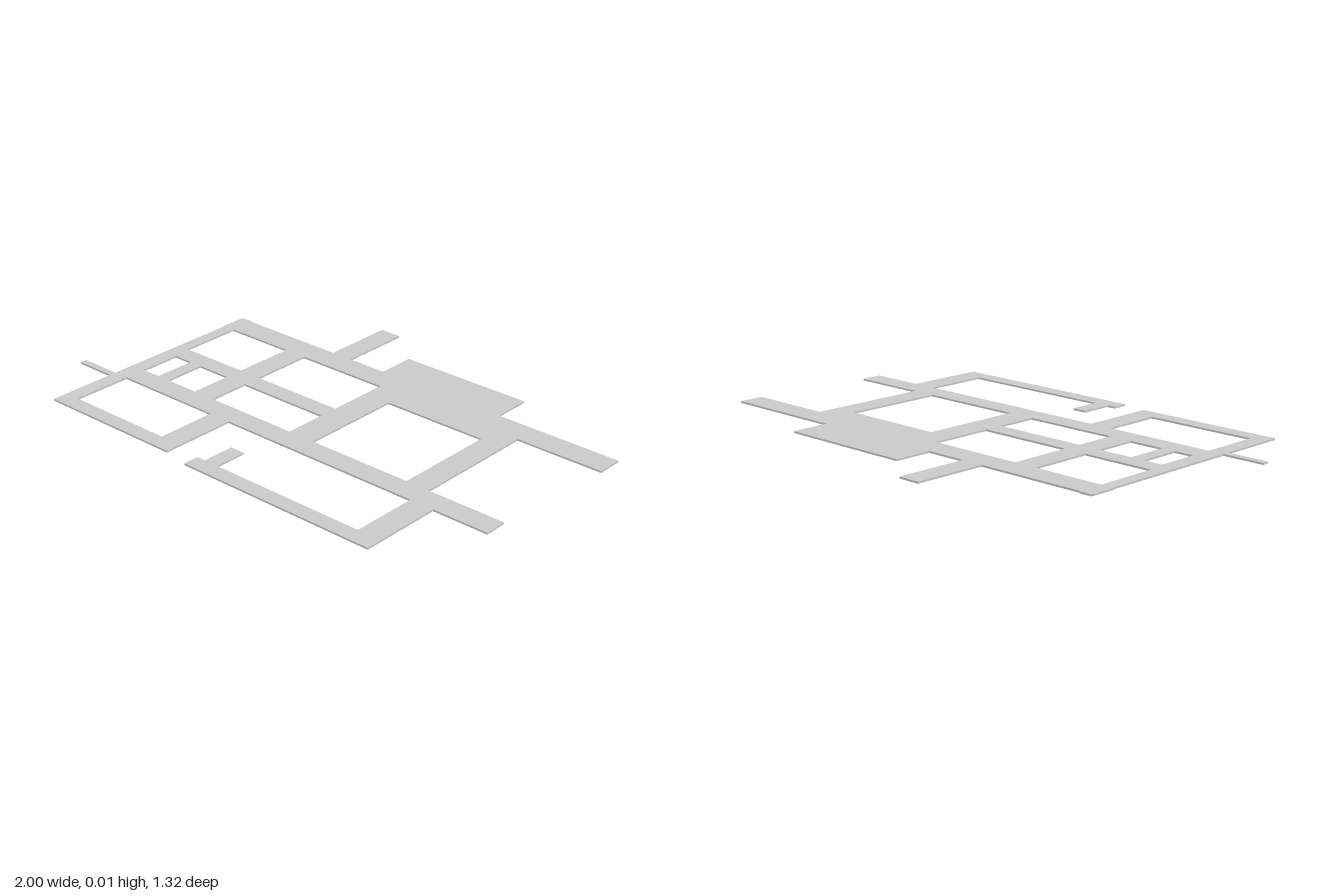
import * as THREE from 'three';

const THICKNESS = 0.007;

// Plan points are [x, z]; the shape is drawn with z flipped, then laid flat.
const toPoints = (plan) => plan.map(([x, z]) => new THREE.Vector2(x, -z));

// Outer edge of the corridor network, starting at the back left corner
const outline = [
  [-0.83, -0.37], [-0.78, -0.37], [-0.78, -0.365],
  // back stub
  [-0.33, -0.365], [-0.33, -0.66], [-0.24, -0.66], [-0.24, -0.365],
  // hall
  [-0.073, -0.365], [-0.073, -0.52], [0.483, -0.52], [0.483, -0.365],
  // back right arm
  [1, -0.365], [1, -0.262], [0.644, -0.262],
  // front right arm
  [0.644, 0.238], [0.96, 0.238], [0.96, 0.327], [0.735, 0.327],
  // front right loop with its short stub
  [0.735, 0.655], [-0.105, 0.655], [-0.105, 0.592], [-0.068, 0.592],
  [-0.068, 0.463], [-0.008, 0.463], [-0.008, 0.592], [0.638, 0.592], [0.638, 0.327],
  // front left loop
  [-0.217, 0.327], [-0.217, 0.632], [-0.83, 0.632],
  // left stub
  [-0.83, 0.354], [-1, 0.354], [-1, 0.327], [-0.83, 0.327],
  // small step at the end of the back corridor
  [-0.83, -0.262], [-0.834, -0.262], [-0.834, -0.365], [-0.83, -0.365],
];

// Rooms cut out between the corridors: [x0, x1, z0, z1]
const rooms = [
  [-0.78, -0.485, -0.262, -0.007],
  [-0.39, 0.002, -0.262, -0.007],
  [-0.767, -0.685, 0.068, 0.238],
  [-0.63, -0.485, 0.068, 0.238],
  [-0.39, 0.002, 0.068, 0.238],
  [0.115, 0.547, -0.177, 0.238],
  [-0.767, -0.31, 0.327, 0.57],
];

export function createModel() {
  const group = new THREE.Group();
  group.name = 'floorPlan';

  const shape = new THREE.Shape(toPoints(outline));
  for (const [x0, x1, z0, z1] of rooms) {
    shape.holes.push(new THREE.Path(toPoints([[x0, z0], [x0, z1], [x1, z1], [x1, z0]])));
  }

  const geometry = new THREE.ExtrudeGeometry(shape, { depth: THICKNESS, bevelEnabled: false });
  geometry.rotateX(-Math.PI / 2);

  const floor = new THREE.Mesh(geometry, new THREE.MeshStandardMaterial({ color: 0xcccccc }));
  floor.name = 'corridorFloor';
  group.add(floor);
  return group;
}
